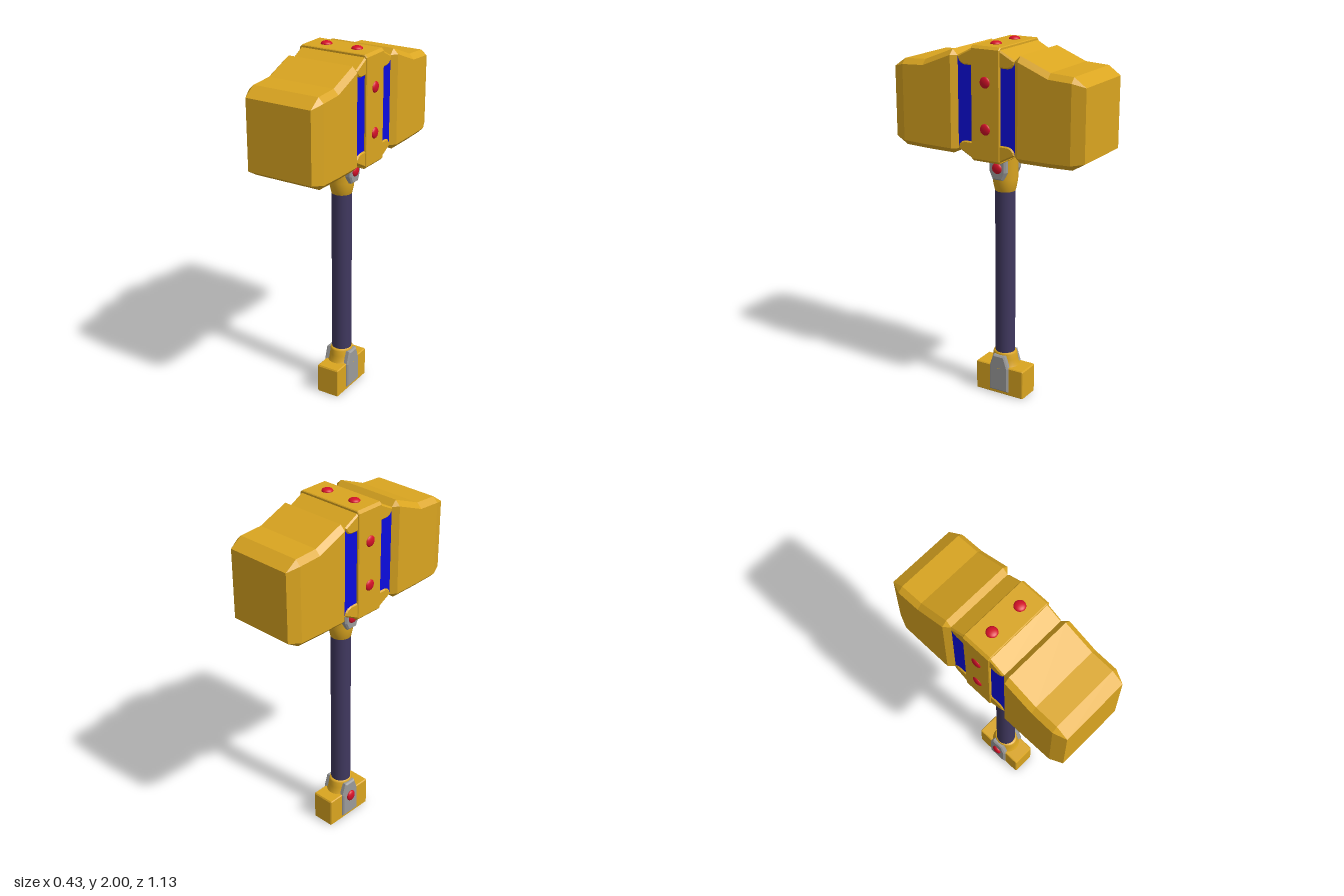
import * as THREE from 'three';

const mat = (name, color) => {
  const m = new THREE.MeshStandardMaterial({ color });
  m.name = name;
  return m;
};

// Outline in (z, y), extruded along x and bevelled, centred on x = cx
function sideExtrude(points, halfDepth, cx, bevel) {
  const shape = new THREE.Shape(points.map(([z, y]) => new THREE.Vector2(z, y)));
  const depth = 2 * (halfDepth - bevel);
  const geo = new THREE.ExtrudeGeometry(shape, {
    depth, bevelEnabled: true, bevelThickness: bevel, bevelSize: bevel, bevelOffset: -bevel, bevelSegments: 1,
  });
  geo.translate(0, 0, -depth / 2);
  geo.rotateY(-Math.PI / 2);
  geo.translate(cx, 0, 0);
  return geo;
}

// Chamfered rectangles lofted along +z: [z, half width, bottom, top, chamfer]
function loft(sections) {
  const rings = sections.map(([z, w, b, t, c]) => [
    [w, b + c, z], [w, t - c, z], [w - c, t, z], [c - w, t, z],
    [-w, t - c, z], [-w, b + c, z], [c - w, b, z], [w - c, b, z],
  ]);
  const pos = [];
  const tri = (...p) => p.forEach((v) => pos.push(...v));
  for (let s = 0; s < rings.length - 1; s++) {
    const a = rings[s], b = rings[s + 1];
    for (let i = 0; i < 8; i++) {
      const j = (i + 1) % 8;
      tri(a[i], a[j], b[j]);
      tri(a[i], b[j], b[i]);
    }
  }
  const first = rings[0], last = rings[rings.length - 1];
  for (let i = 1; i < 7; i++) {
    tri(first[0], first[i + 1], first[i]);
    tri(last[0], last[i], last[i + 1]);
  }
  const geo = new THREE.BufferGeometry();
  geo.setAttribute('position', new THREE.Float32BufferAttribute(pos, 3));
  geo.computeVertexNormals();
  return geo;
}

export function createModel() {
  const gold = mat('gold', 0xdaa520);
  const blue = mat('blue', 0x0c0cde);
  const purple = mat('darkPurple', 0x40385f);
  const red = mat('red', 0xd41028);
  const grey = mat('grey', 0x9a9a9a);

  const model = new THREE.Group();
  model.name = 'hammer';
  const add = (name, geo, material, parent = model) => {
    const mesh = new THREE.Mesh(geo, material);
    mesh.name = name;
    parent.add(mesh);
    return mesh;
  };

  const head = new THREE.Group();
  head.name = 'head';
  model.add(head);

  // Two mirrored striking blocks
  const blockGeo = loft([
    [0.17, 0.187, 1.437, 1.925, 0],
    [0.2, 0.215, 1.41, 1.955, 0.028],
    [0.37, 0.215, 1.411, 1.887, 0.028],
    [0.5, 0.215, 1.415, 1.88, 0.028],
    [0.567, 0.187, 1.455, 1.833, 0],
  ]);
  add('frontBlock', blockGeo, gold, head);
  add('backBlock', blockGeo, gold, head).rotation.y = Math.PI;

  // Blue core between blocks and band
  const core = new THREE.BoxGeometry(0.374, 0.475, 0.36);
  core.translate(0, 1.682, 0);
  add('core', core, blue, head);

  // Gold caps with rounded inner corners, above and below the core
  const capHalf = [[0.083, 1.972], [0.172, 1.925], [0.166, 1.904], [0.152, 1.888], [0.13, 1.88]];
  const cap = [...capHalf, ...capHalf.map(([z, y]) => [-z, y]).reverse()];
  add('topCap', sideExtrude(cap, 0.194, 0, 0.008), gold, head);
  add('bottomCap', sideExtrude(cap.map(([z, y]) => [z, 3.366 - y]), 0.194, 0, 0.008), gold, head);

  // Central band
  add('band', loft([
    [-0.084, 0.196, 1.389, 1.981, 0.012],
    [-0.08, 0.2, 1.385, 1.985, 0.014],
    [0.08, 0.2, 1.385, 1.985, 0.014],
    [0.084, 0.196, 1.389, 1.981, 0.012],
  ]), gold, head);

  // Collar and handle
  const collar = [[0.05, 1.185], [0.056, 1.19], [0.064, 1.225], [0.069, 1.26], [0.07, 1.4]];
  add('collar', new THREE.LatheGeometry(collar.map(([r, y]) => new THREE.Vector2(r, y)), 24), gold);
  const handle = new THREE.CylinderGeometry(0.055, 0.055, 1.0, 24);
  handle.translate(0, 0.71, 0);
  add('handle', handle, purple);

  // Pommel block with tapered neck
  add('pommelBlock', loft([
    [-0.151, 0.062, 0.003, 0.162, 0],
    [-0.146, 0.067, 0, 0.17, 0.005],
    [0.146, 0.067, 0, 0.17, 0.005],
    [0.151, 0.062, 0.003, 0.162, 0],
  ]), gold);
  const neck = [[0.09, 0.16], [0.079, 0.18], [0.073, 0.21], [0.069, 0.24], [0.064, 0.25], [0.05, 0.25]];
  const neckGeo = new THREE.LatheGeometry(neck.map(([r, y]) => new THREE.Vector2(r, y)), 24);
  neckGeo.scale(0.88, 1, 1);
  add('pommelNeck', neckGeo, gold);

  // Grey plates on both sides
  const collarPlate = [[-0.03, 1.262], [0.03, 1.262], [0.05, 1.305], [0.05, 1.387], [-0.05, 1.387], [-0.05, 1.305]];
  const pommelPlate = [[-0.06, 0.02], [0.06, 0.02], [0.06, 0.165], [0.036, 0.238], [-0.036, 0.238], [-0.06, 0.165]];
  for (const s of [1, -1]) {
    const side = s > 0 ? 'left' : 'right';
    add(side + 'CollarPlate', sideExtrude(collarPlate, 0.02, s * 0.066, 0.008), grey);
    add(side + 'PommelPlate', sideExtrude(pommelPlate, 0.02, s * 0.058, 0.008), grey);
  }

  // Red gems: flattened along the facing axis
  const gemGeo = new THREE.SphereGeometry(0.03, 20, 14);
  const gem = (name, x, y, sx, sy) => {
    const g = add(name, gemGeo, red);
    g.position.set(x, y, 0);
    g.scale.set(sx, sy, 1);
  };
  for (const s of [1, -1]) {
    const side = s > 0 ? 'left' : 'right';
    gem(side + 'TopGem', s * 0.091, 1.985, 1, 0.5);
    gem(side + 'UpperGem', s * 0.199, 1.803, 0.4, 1);
    gem(side + 'LowerGem', s * 0.199, 1.56, 0.4, 1);
    gem(side + 'CollarGem', s * 0.084, 1.327, 0.5, 1);
  }
  gem('pommelGem', -0.08, 0.143, 0.5, 1.1);

  return model;
}
